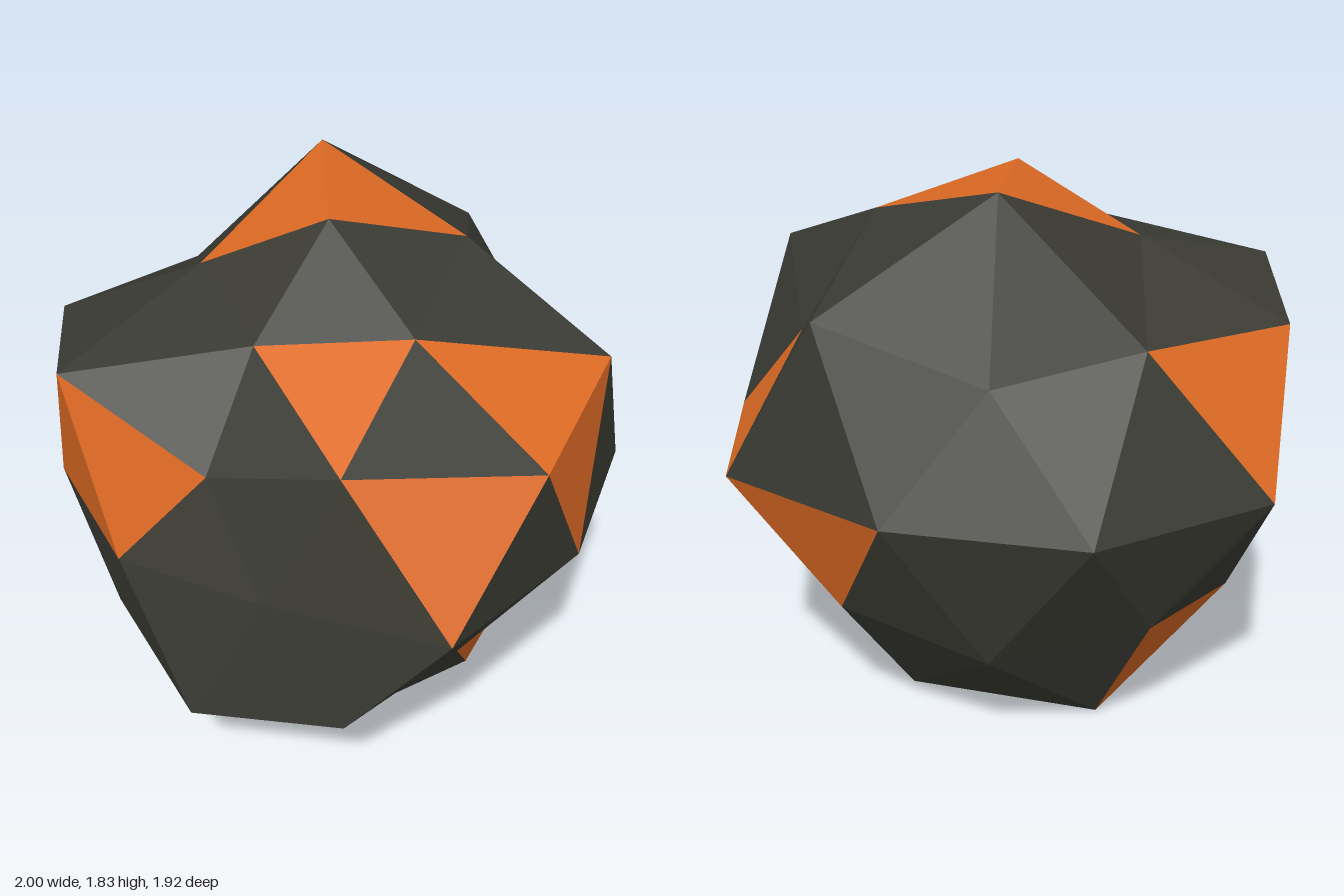
import * as THREE from 'three';

// Faceted boulder: a once-subdivided icosahedron whose points move along their own radius.
const CENTRE = new THREE.Vector3(0.01, 0.9, 0.11);

// Point from latitude and azimuth (degrees, azimuth turns from +z to +x)
function point(lat, az, r) {
  const a = THREE.MathUtils.degToRad(lat), b = THREE.MathUtils.degToRad(az);
  return new THREE.Vector3(Math.cos(a) * Math.sin(b), Math.sin(a), Math.cos(a) * Math.cos(b))
    .multiplyScalar(r).add(CENTRE);
}

// Ring of evenly spaced points with one radius each; the index wraps around
function ring(lat, start, radii) {
  const pts = radii.map((r, i) => point(lat, start + (i * 360) / radii.length, r));
  return (i) => pts[i % pts.length];
}

function facets(name, triangles, material) {
  const geometry = new THREE.BufferGeometry().setFromPoints(triangles.flat());
  geometry.computeVertexNormals();
  const mesh = new THREE.Mesh(geometry, material);
  mesh.name = name;
  return mesh;
}

export function createModel() {
  const darkStone = new THREE.MeshStandardMaterial({ color: 0x3b3b34, flatShading: true });
  darkStone.name = 'dark stone';
  const orangeGlow = new THREE.MeshStandardMaterial({ color: 0xdd6a24, flatShading: true });
  orangeGlow.name = 'orange';

  // Rings from top to bottom
  const top = point(90, 0, 0.91);
  const T = ring(58.28, 18, [0.776, 0.788, 0.902, 1.093, 0.823]);
  const A = ring(26.57, 18, [0.75, 1.107, 0.82, 0.88, 1.049]);
  const M = ring(31.72, 54, [0.884, 1.06, 1.074, 0.905, 1.041]);
  const E = ring(0, 0, [0.85, 0.78, 1.01, 0.936, 0.988, 1.07, 1.0, 1.062, 1.062, 0.916]);
  const B = ring(-26.57, 54, [0.951, 0.76, 0.94, 0.95, 0.87]);
  const N = ring(-31.72, 90, [0.78, 0.83, 0.97, 0.93, 0.975]);
  const S = ring(-58.28, 54, [0.905, 0.965, 1.0, 1.06, 1.05]);
  const bottom = point(-90, 0, 0.83);

  // Numbers of the orange facets in each of the five sectors
  const orange = [[3, 6, 14], [1, 4, 8], [0, 5], [0, 6, 13], [6, 7, 13]];
  const darkFaces = [], orangeFaces = [];

  for (let k = 0; k < 5; k++) {
    const n = k + 1, e1 = E(2 * k + 1), e2 = E(2 * k + 2), e3 = E(2 * k + 3);
    const sector = [
      // cap
      [top, T(k), T(n)], [T(k), A(k), M(k)], [T(n), M(k), A(n)], [T(k), M(k), T(n)],
      // upper belt
      [A(k), e1, M(k)], [e1, B(k), e2], [M(k), e2, A(n)], [M(k), e1, e2],
      // lower belt
      [A(n), e2, e3], [e2, B(k), N(k)], [e3, N(k), B(n)], [e2, N(k), e3],
      // base
      [bottom, S(n), S(k)], [S(k), N(k), B(k)], [S(n), B(n), N(k)], [S(k), S(n), N(k)],
    ];
    sector.forEach((face, i) => (orange[k].includes(i) ? orangeFaces : darkFaces).push(face));
  }

  const group = new THREE.Group();
  group.name = 'boulder';
  group.add(facets('rockBody', darkFaces, darkStone));
  group.add(facets('orangeFacets', orangeFaces, orangeGlow));
  return group;
}
